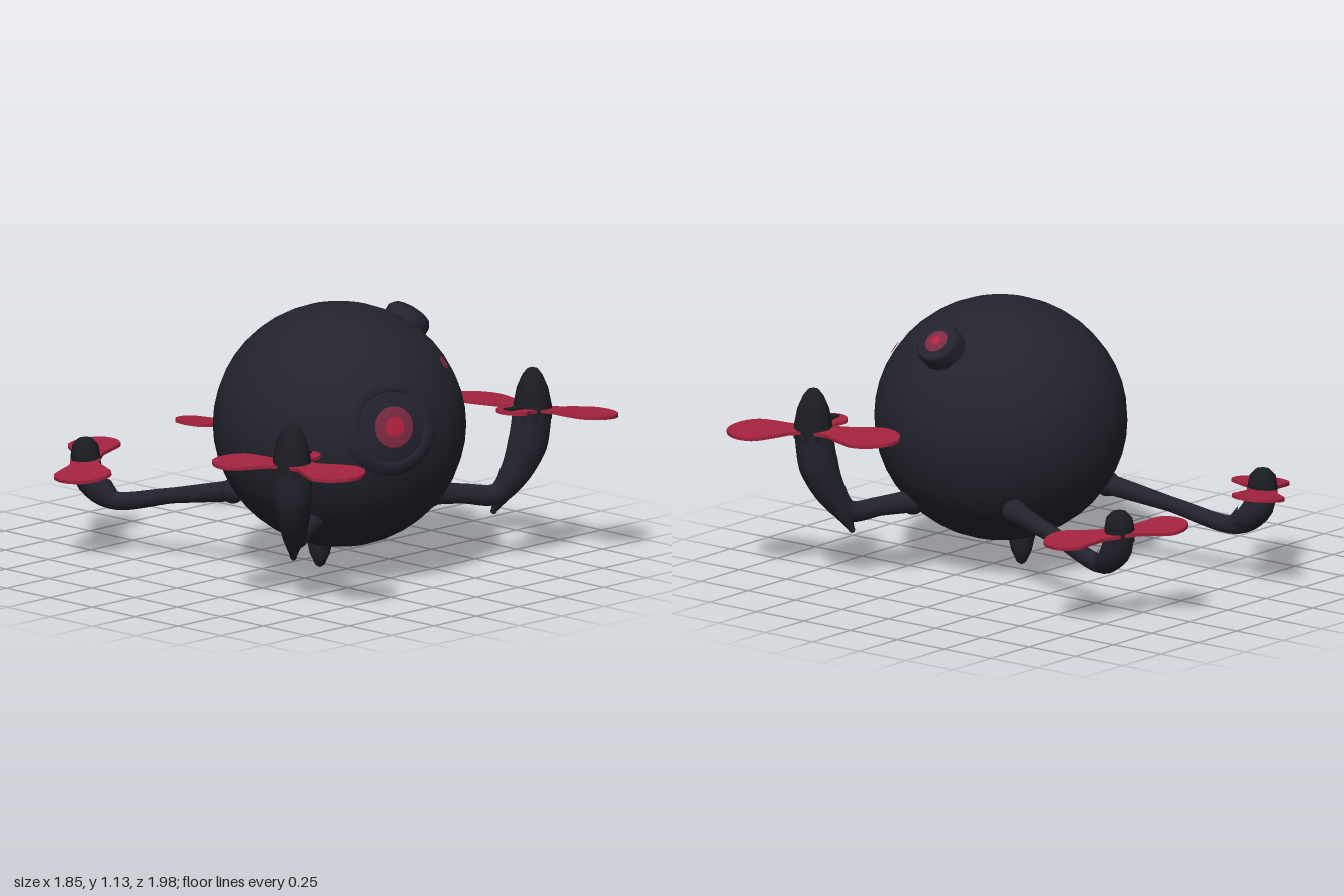
import * as THREE from 'three';

const mat = (name, color, side = THREE.FrontSide) => {
  const m = new THREE.MeshStandardMaterial({ color, side });
  m.name = name;
  return m;
};
const V = (a) => new THREE.Vector3(...a);

export function createModel() {
  const shell = mat('dark shell', 0x23232e);
  const tipDark = mat('charcoal', 0x1c1d23);
  const red = mat('crimson', 0xa5233f, THREE.DoubleSide);
  const iris = mat('dull crimson', 0x7c2a40);
  const pupil = mat('bright crimson', 0xb2213f);

  const root = new THREE.Group();
  root.name = 'hoverDrone';
  const add = (parent, name, geo, material, pos = [0, 0, 0]) => {
    const m = new THREE.Mesh(geo, material);
    m.name = name;
    m.position.set(...pos);
    parent.add(m);
    return m;
  };
  const lathe = (pts, sides) =>
    new THREE.LatheGeometry(pts.map((p) => new THREE.Vector2(...p)), sides);

  // Round body
  const R = 0.52;
  const body = new THREE.Group();
  body.name = 'body';
  body.position.set(-0.035, 0.62, 0.24);
  body.scale.set(1, 0.98, 1.02);
  root.add(body);
  add(body, 'bodyShell', new THREE.SphereGeometry(R, 32, 22), shell);

  // Fittings on the body: a group whose y axis points out of the shell
  const fitting = (name, dir) => {
    const g = new THREE.Group();
    g.name = name;
    g.quaternion.setFromUnitVectors(new THREE.Vector3(0, 1, 0), V(dir).normalize());
    body.add(g);
    return g;
  };
  const cap = (parent, name, lift, radius, material) =>
    add(parent, name, new THREE.SphereGeometry(R + lift, 20, 4, 0, Math.PI * 2, 0, Math.asin(radius / R)), material);

  // Main eye with a raised rim
  const eye = fitting('mainEye', [-0.172, 0.095, 0.475]);
  const at = (r, lift) => [r, Math.sqrt(R * R - r * r) + lift];
  add(eye, 'eyeRim', lathe([at(0.215, -0.01), at(0.2, 0.012), at(0.16, 0.012), at(0.145, -0.01)], 20), shell);
  cap(eye, 'eyeIris', 0.006, 0.087, iris);
  cap(eye, 'eyePupil', 0.01, 0.042, pupil);

  // Small indicator light
  cap(fitting('indicator', [0.23, 0.285, 0.365]), 'indicatorLight', 0.006, 0.03, iris);

  // Side camera turret
  const turret = fitting('turret', [0.42, 0.42, 0.01]);
  add(turret, 'turretBarrel', lathe([[0.098, 0.47], [0.098, 0.565], [0.085, 0.585], [0, 0.585]], 14), shell);
  const lens = lathe([[0.055, 0], [0.04, 0.008], [0, 0.009]], 14);
  add(turret, 'turretLens', lens, iris, [0, 0.584, 0]);
  const core = add(turret, 'turretLensCore', lens, pupil, [0, 0.589, 0]);
  core.scale.set(0.5, 0.7, 0.5);

  // Tapered fin under the body
  add(root, 'bellyFin', lathe([[0.001, 0], [0.02, 0.012], [0.042, 0.06], [0.056, 0.12], [0.06, 0.18]], 10), shell, [-0.06, 0, 0.15]);

  // Tube whose radius follows a list matching its points
  const taperedTube = (points, radii) => {
    const curve = new THREE.CatmullRomCurve3(points);
    const n = 28, sides = 10;
    const geo = new THREE.TubeGeometry(curve, n, 1, sides);
    const pos = geo.attributes.position;
    const v = new THREE.Vector3();
    for (let i = 0; i < pos.count; i++) {
      const u = Math.floor(i / (sides + 1)) / n;
      const k = curve.getUtoTmapping(u) * (radii.length - 1);
      const a = Math.min(Math.floor(k), radii.length - 2);
      const r = THREE.MathUtils.lerp(radii[a], radii[a + 1], k - a);
      const c = curve.getPointAt(u);
      v.fromBufferAttribute(pos, i).sub(c).multiplyScalar(r).add(c);
      pos.setXYZ(i, v.x, v.y, v.z);
    }
    geo.computeVertexNormals();
    return geo;
  };

  // Rounded paddle blade lying flat, reaching along +x
  const bladeGeometry = (len, w) => {
    const half = [[0, 0.055], [0.25 * len, 0.062], [0.45 * len, 0.78 * w], [0.68 * len, w], [0.89 * len, 0.7 * w]];
    const pts = [...half, [len, 0], ...half.map(([u, v]) => [u, -v]).reverse()];
    const outline = new THREE.CatmullRomCurve3(pts.map(([u, v]) => new THREE.Vector3(u, v, 0)), true);
    const shape = new THREE.Shape(outline.getPoints(40).map((p) => new THREE.Vector2(p.x, p.y)));
    return new THREE.ExtrudeGeometry(shape, { depth: 0.014, bevelEnabled: false })
      .rotateX(-Math.PI / 2).translate(0, -0.007, 0);
  };

  // Arm, motor pod and propeller; blades are [dx, dz, half width] from the hub
  const rotor = ({ name, base, elbow, hub, radii, spike, tip, tilt, blades }) => {
    const g = new THREE.Group();
    g.name = name;
    root.add(g);
    const b = V(base), e = V(elbow), h = V(hub);
    const bend = (t, s) => new THREE.Vector3(
      THREE.MathUtils.lerp(e.x, h.x, s), THREE.MathUtils.lerp(e.y, h.y, t), THREE.MathUtils.lerp(e.z, h.z, s));
    const path = [b, b.clone().lerp(e, 0.5), e, bend(0.2, 0.45), bend(0.58, 0.85), h];
    add(g, 'arm', taperedTube(path, radii), shell);
    add(g, 'armSocket', new THREE.SphereGeometry(radii[0] + 0.008, 12, 8), shell, base);

    // Pointed heel below the elbow
    const heel = bend(0.25, 0.45), point = V(spike);
    add(g, 'heel', taperedTube([heel, heel.clone().lerp(point, 0.5), point], [0.06, 0.045, 0.012]), shell);
    add(g, 'heelTip', new THREE.SphereGeometry(0.014, 8, 6), shell, spike);

    add(g, 'podTip', lathe(tip, 10), tipDark, hub);

    const prop = new THREE.Group();
    prop.name = 'propeller';
    prop.position.copy(h).y += 0.01;
    prop.rotation.z = tilt;
    g.add(prop);
    blades.forEach(([dx, dz, w]) => {
      const len = Math.hypot(dx, dz);
      const turn = Math.atan2(-dz, dx);
      add(prop, 'blade', bladeGeometry(len, w), red).rotation.y = turn;
      // Dark strip on the short blade
      if (w < 0.1) {
        const strip = new THREE.BoxGeometry(len * 0.85, 0.008, 0.038).translate(len * 0.425, 0.011, 0);
        add(prop, 'bladeStrip', strip, tipDark).rotation.y = turn;
      }
    });
  };

  const frontRadii = [0.05, 0.042, 0.046, 0.062, 0.084, 0.082];
  const rearRadii = [0.045, 0.033, 0.04, 0.055, 0.066, 0.062];
  const frontTip = [[0.082, -0.03], [0.08, 0.03], [0.066, 0.1], [0.042, 0.155], [0.022, 0.18], [0, 0.187]];
  const rearTip = [[0.062, -0.03], [0.062, 0.03], [0.054, 0.075], [0.03, 0.1], [0, 0.108]];
  const front = { radii: frontRadii, tip: frontTip };
  const rear = { radii: rearRadii, tip: rearTip };

  rotor({
    ...front, name: 'frontLeftRotor', tilt: -0.08,
    base: [0.31, 0.3, 0.43], elbow: [0.55, 0.28, 0.575], hub: [0.67, 0.63, 0.67], spike: [0.555, 0.205, 0.555],
    blades: [[-0.03, -0.42, 0.125], [0.2, 0.3, 0.13], [-0.2, 0.02, 0.075]],
  });
  rotor({
    ...front, name: 'frontRightRotor', tilt: 0.035,
    base: [-0.35, 0.29, 0.41], elbow: [-0.58, 0.27, 0.525], hub: [-0.69, 0.605, 0.61], spike: [-0.58, 0.185, 0.51],
    blades: [[-0.17, -0.295, 0.12], [0, 0.38, 0.13], [0.19, -0.08, 0.07]],
  });
  rotor({
    ...rear, name: 'rearLeftRotor', tilt: -0.11,
    base: [0.28, 0.33, -0.09], elbow: [0.4, 0.22, -0.65], hub: [0.43, 0.37, -0.77], spike: [0.4, 0.195, -0.62],
    blades: [[-0.228, -0.18, 0.11], [0.265, 0.187, 0.115]],
  });
  rotor({
    ...rear, name: 'rearRightRotor', tilt: 0.11,
    base: [-0.33, 0.33, -0.09], elbow: [-0.46, 0.22, -0.66], hub: [-0.5, 0.37, -0.78], spike: [-0.455, 0.195, -0.63],
    blades: [[0.24, -0.16, 0.11], [-0.24, 0.21, 0.12]],
  });

  return root;
}
